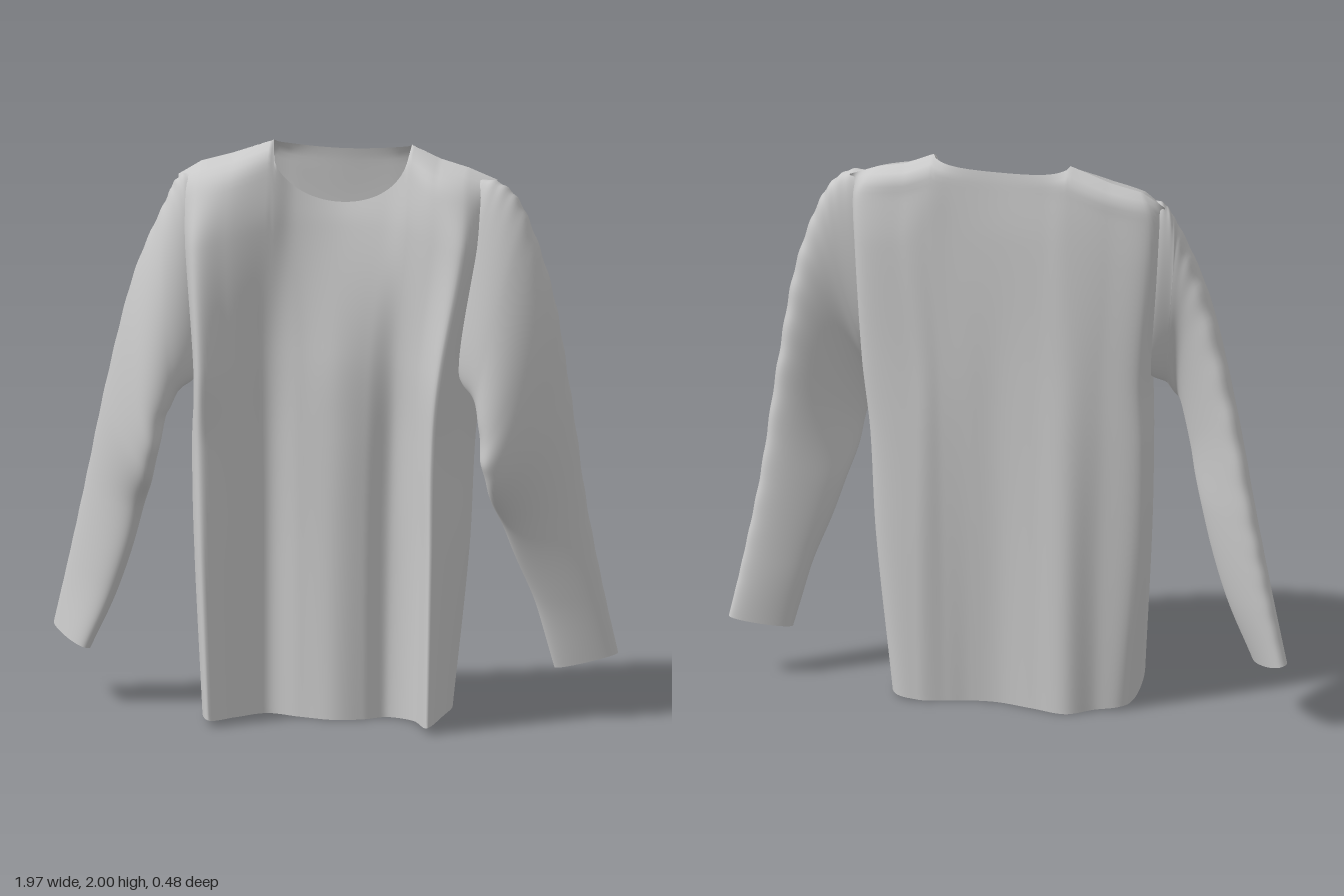
import * as THREE from 'three';

// Smooth 1D curve through vals at the given keys
function spline(keys, vals, t) {
  const n = keys.length;
  let i = 0;
  while (i < n - 2 && t > keys[i + 1]) i++;
  const slope = (k) => {
    const a = Math.max(k - 1, 0), b = Math.min(k + 1, n - 1);
    return (vals[b] - vals[a]) / (keys[b] - keys[a]);
  };
  const h = keys[i + 1] - keys[i], s = (t - keys[i]) / h, s2 = s * s, s3 = s2 * s;
  return vals[i] * (2 * s3 - 3 * s2 + 1) + slope(i) * h * (s3 - 2 * s2 + s)
    + vals[i + 1] * (3 * s2 - 2 * s3) + slope(i + 1) * h * (s3 - s2);
}

// Smooth closed curve through evenly spaced values
function loopSpline(vals, u) {
  const n = vals.length, f = u * n, i = Math.floor(f), s = f - i;
  const [a, b, c, d] = [-1, 0, 1, 2].map((k) => vals[(i + k + n) % n]);
  return b + 0.5 * s * (c - a + s * (2 * a - 5 * b + 4 * c - d + s * (3 * (b - c) + d - a)));
}

// Open-ended tube of cloth: ring(v) returns a function giving the point at u
function clothTube(nu, nv, ring) {
  const pos = [], idx = [];
  for (let j = 0; j <= nv; j++) {
    const at = ring(j / nv);
    for (let i = 0; i < nu; i++) pos.push(...at(i / nu));
  }
  for (let j = 0; j < nv; j++) {
    for (let i = 0; i < nu; i++) {
      const a = j * nu + i, b = j * nu + (i + 1) % nu, c = a + nu, d = b + nu;
      idx.push(a, b, c, b, d, c);
    }
  }
  const g = new THREE.BufferGeometry();
  g.setAttribute('position', new THREE.Float32BufferAttribute(pos, 3));
  g.setIndex(idx);
  g.computeVertexNormals();
  return g;
}

// Torso columns run from the right side seam to the left one, rows from hem to shoulder
const ROWS = [0, 0.3, 0.5, 0.64, 0.86, 0.95, 0.985, 1];
const COLUMN_X = [
  [-.43, -.385, -.31, -.22, -.10, .02, .12, .20, .30, .375, .395],
  [-.465, -.415, -.32, -.22, -.10, .02, .12, .21, .31, .38, .43],
  [-.475, -.43, -.33, -.22, -.10, .03, .13, .22, .31, .385, .445],
  [-.47, -.43, -.33, -.22, -.10, .03, .14, .23, .32, .41, .47],
  [-.51, -.46, -.35, -.21, -.12, .03, .18, .27, .37, .48, .53],
  [-.53, -.46, -.35, -.21, -.12, .03, .18, .27, .37, .48, .555],
  [-.535, -.46, -.35, -.21, -.12, .03, .18, .27, .37, .47, .565],
  [-.54, -.46, -.35, -.21, -.12, .03, .18, .27, .37, .47, .57],
];
const FRONT_Z = [
  [.06, .235, .10, -.01, .02, .05, .025, -.02, .05, .22, .04],
  [.03, .20, .10, -.01, .02, .045, .025, -.02, .045, .18, .02],
  [.01, .17, .10, .00, .02, .04, .02, -.02, .045, .165, .00],
  [.00, .18, .10, .01, .01, .025, .01, -.005, .055, .17, .00],
  [-.02, .11, .08, .01, -.035, -.055, -.035, .01, .07, .11, -.01],
  [-.04, .035, .035, -.025, -.075, -.11, -.075, -.025, .035, .035, -.04],
  [-.06, -.02, -.02, -.055, -.09, -.115, -.09, -.055, -.02, -.02, -.06],
  [-.09, -.09, -.10, -.10, -.10, -.12, -.10, -.10, -.10, -.09, -.09],
];
// Back columns between the side seams, left to right as on the front
const BACK_Z = [
  [-.14, -.19, -.24, -.215, -.19, -.195, -.215, -.235, -.19],
  [-.14, -.185, -.225, -.205, -.185, -.19, -.205, -.225, -.18],
  [-.14, -.18, -.21, -.195, -.18, -.185, -.195, -.21, -.175],
  [-.14, -.175, -.195, -.185, -.175, -.18, -.185, -.195, -.17],
  [-.14, -.165, -.175, -.17, -.165, -.165, -.17, -.175, -.16],
  [-.13, -.155, -.16, -.155, -.15, -.155, -.16, -.155, -.14],
  [-.12, -.145, -.145, -.145, -.14, -.145, -.145, -.145, -.125],
  [-.09, -.10, -.10, -.12, -.125, -.12, -.10, -.10, -.09],
];
// Outer columns of the back, which reach further out than the front folds
const BACK_EDGE_RIGHT = [-.42, -.47, -.48, -.47, -.50, -.50, -.48, -.46];
const BACK_EDGE_LEFT = [.395, .455, .475, .505, .53, .53, .50, .47];
const loopX = COLUMN_X.map((r, k) => [
  ...r, BACK_EDGE_LEFT[k], ...r.slice(2, 9).reverse(), BACK_EDGE_RIGHT[k],
]);
const loopZ = FRONT_Z.map((r, k) => [...r, ...[...BACK_Z[k]].reverse()]);

// Shoulder slope
const SHOULDER_X = [-.54, -.46, -.35, -.21, .27, .37, .47, .57];
const SHOULDER_Y = [1.87, 1.92, 1.95, 2, 2, 1.955, 1.93, 1.89];
function shoulderHeight(x) {
  let i = 0;
  while (i < 6 && x > SHOULDER_X[i + 1]) i++;
  const s = THREE.MathUtils.clamp((x - SHOULDER_X[i]) / (SHOULDER_X[i + 1] - SHOULDER_X[i]), 0, 1);
  return SHOULDER_Y[i] + (SHOULDER_Y[i + 1] - SHOULDER_Y[i]) * s;
}

// Depth of the round neckline below the shoulder slope
function neckDrop(x, isFront) {
  const d = (x - 0.03) / 0.24;
  return Math.abs(d) < 1 ? (isFront ? 0.205 : 0.03) * Math.sqrt(1 - d * d) : 0;
}

function torsoGeometry() {
  const column = (rows, c, w) => spline(ROWS, rows.map((r) => r[c]), w);
  const surface = (rows, u, w) => loopSpline(rows[0].map((_, c) => column(rows, c, w)), u);
  return clothTube(200, 90, (v) => (u) => {
    const hemX = loopSpline(loopX[0], u), topX = loopSpline(loopX[7], u);
    const hem = (0.02 + 0.04 * loopSpline(loopZ[0], u)) * Math.min(1, (hemX / 0.4) ** 4);
    const full = shoulderHeight(topX) - hem;
    const height = (full - neckDrop(topX, u <= 0.5)) * v;
    const w = height / full;
    return [surface(loopX, u, w), hem + height, surface(loopZ, u, w)];
  });
}

// Sleeve sections: outer edge x y z, inner edge x y z, half thickness
const LEFT_SLEEVE = [
  [.46, 1.885, -.07, .43, 1.24, -.01, .06],
  [.575, 1.89, -.06, .46, 1.21, .02, .085],
  [.67, 1.79, -.06, .52, 1.13, .08, .09],
  [.755, 1.53, -.075, .55, 1.00, .14, .075],
  [.81, 1.18, -.105, .57, .87, .14, .062],
  [.87, .76, -.13, .61, .68, .01, .055],
  [.93, .44, -.15, .70, .42, -.07, .045],
  [.975, .225, -.17, .765, .18, -.10, .035],
];
const RIGHT_SLEEVE = [
  [-.45, 1.875, -.07, -.42, 1.24, -.01, .06],
  [-.53, 1.87, -.06, -.45, 1.20, .02, .085],
  [-.585, 1.77, -.06, -.52, 1.13, .09, .09],
  [-.675, 1.53, -.08, -.57, 1.03, .15, .07],
  [-.775, 1.15, -.115, -.60, .88, .145, .06],
  [-.865, .76, -.165, -.65, .72, .05, .055],
  [-.93, .48, -.20, -.74, .44, -.01, .05],
  [-.985, .25, -.23, -.85, .20, -.04, .04],
];

function sleeveGeometry(sections) {
  const keys = sections.map((_, i) => i / (sections.length - 1));
  const value = (k, v) => spline(keys, sections.map((s) => s[k]), v);
  const edge = (k, v) => new THREE.Vector3(value(k, v), value(k + 1, v), value(k + 2, v));
  const centre = (v) => edge(0, v).add(edge(3, v)).multiplyScalar(0.5);
  return clothTube(64, 110, (v) => {
    const c = centre(v), half = edge(0, v).sub(c);
    const along = centre(Math.min(v + 0.01, 1)).sub(centre(Math.max(v - 0.01, 0)));
    const thick = along.cross(half).normalize().multiplyScalar(value(6, v));
    const fade = Math.sin(Math.PI * v);
    return (u) => {
      const a = u * Math.PI * 2, co = Math.cos(a), si = Math.sin(a);
      // Small gathers along the outer edge, softer folds at the inner elbow
      const gather = 0.012 * fade * Math.sin(v * 110) * Math.max(0, co) ** 3;
      const fold = 0.02 * fade * Math.sin(v * 42) * Math.max(0, -co) ** 2;
      const p = c.clone().addScaledVector(half, co * (1 + gather + fold))
        .addScaledVector(thick, Math.sign(si) * Math.abs(si) ** 0.85);
      return [p.x, p.y, p.z];
    };
  });
}

export function createModel() {
  const cloth = new THREE.MeshStandardMaterial({ color: 0xc8c8c8, side: THREE.DoubleSide });
  cloth.name = 'grey cloth';
  const shirt = new THREE.Group();
  shirt.name = 'longSleevedShirt';
  const add = (name, geometry) => {
    const mesh = new THREE.Mesh(geometry, cloth);
    mesh.name = name;
    shirt.add(mesh);
  };
  add('torso', torsoGeometry());
  add('leftSleeve', sleeveGeometry(LEFT_SLEEVE));
  add('rightSleeve', sleeveGeometry(RIGHT_SLEEVE));
  return shirt;
}
